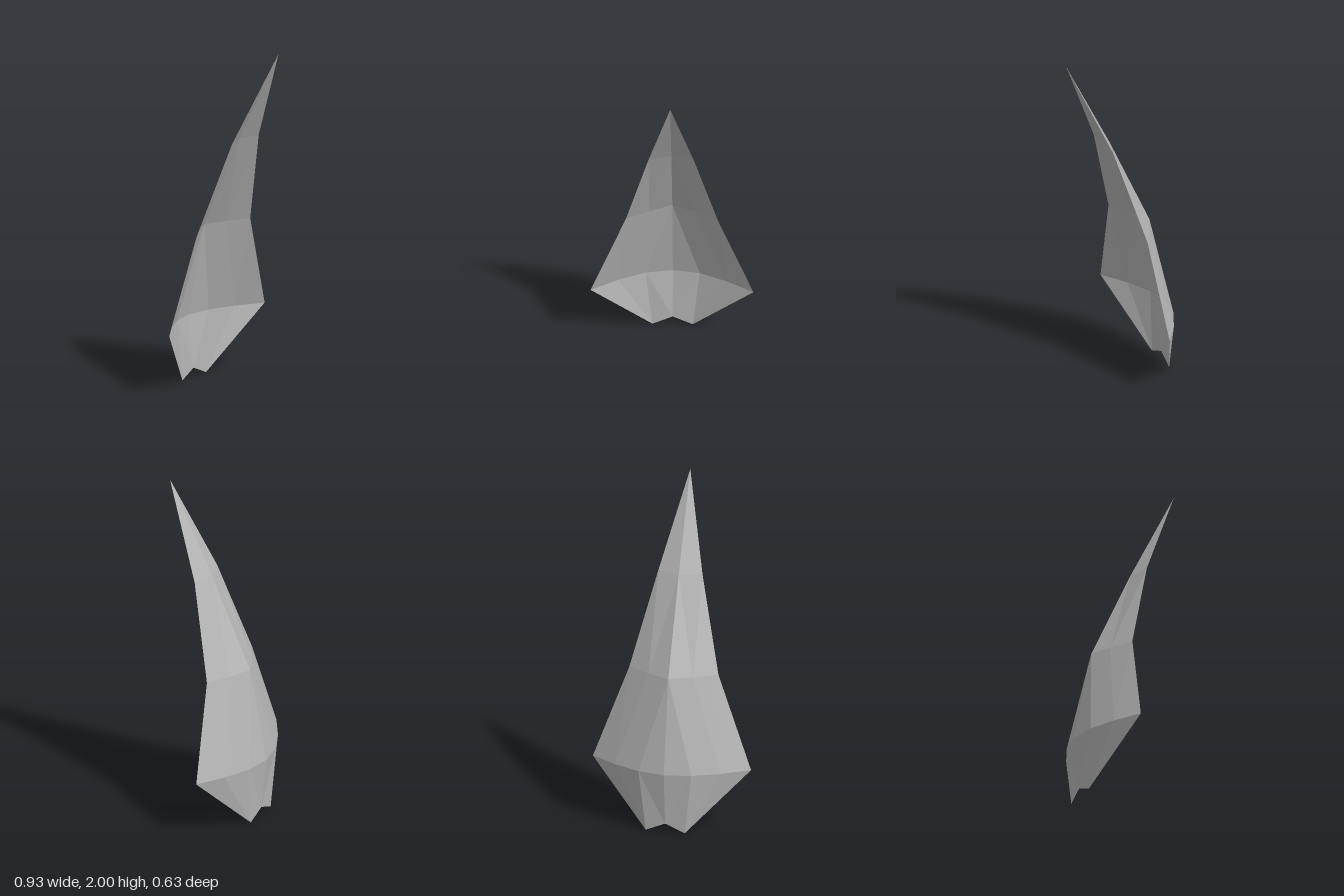
import * as THREE from 'three';

// Half cross-sections from the centre line out to the left edge: [x, y, z]
const base = [[0, 0.05, -0.285], [0.115, 0, -0.28]];
const belly = [[0, 0.36, -0.317], [0.155, 0.36, -0.29], [0.31, 0.36, -0.218], [0.465, 0.36, -0.12]];
const waist = [[0, 0.91, -0.21], [0.13, 0.91, -0.15], [0.262, 0.91, -0.075]];
const neck = [[0, 1.455, 0.04], [0.13, 1.455, 0.08]];
const tip = [[0, 2, 0.315]];

// Stitch a wide row to a narrower one, on both sides of the centre line
function band(name, wide, narrow, material, narrowBelow = false) {
  const positions = [];
  const add = (a, b, c) => {
    if (narrowBelow) [b, c] = [c, b];
    positions.push(...a, ...b, ...c);
    for (const [x, y, z] of [a, c, b]) positions.push(-x, y, z);
  };
  for (let i = 0; i < wide.length - 1; i++) {
    const n = Math.min(i, narrow.length - 1);
    add(wide[i], wide[i + 1], narrow[n]);
    if (n + 1 < narrow.length) add(wide[i + 1], narrow[n + 1], narrow[n]);
  }
  const geometry = new THREE.BufferGeometry();
  geometry.setAttribute('position', new THREE.Float32BufferAttribute(positions, 3));
  geometry.computeVertexNormals();
  const mesh = new THREE.Mesh(geometry, material);
  mesh.name = name;
  return mesh;
}

export function createModel() {
  const grey = new THREE.MeshStandardMaterial({ color: 0xb4b4b4, flatShading: true, side: THREE.DoubleSide });
  grey.name = 'grey';

  const group = new THREE.Group();
  group.name = 'curvedBlade';
  group.add(
    band('notchedBase', belly, base, grey, true),
    band('lowerBlade', belly, waist, grey),
    band('upperBlade', waist, neck, grey),
    band('pointedTip', neck, tip, grey)
  );
  return group;
}
